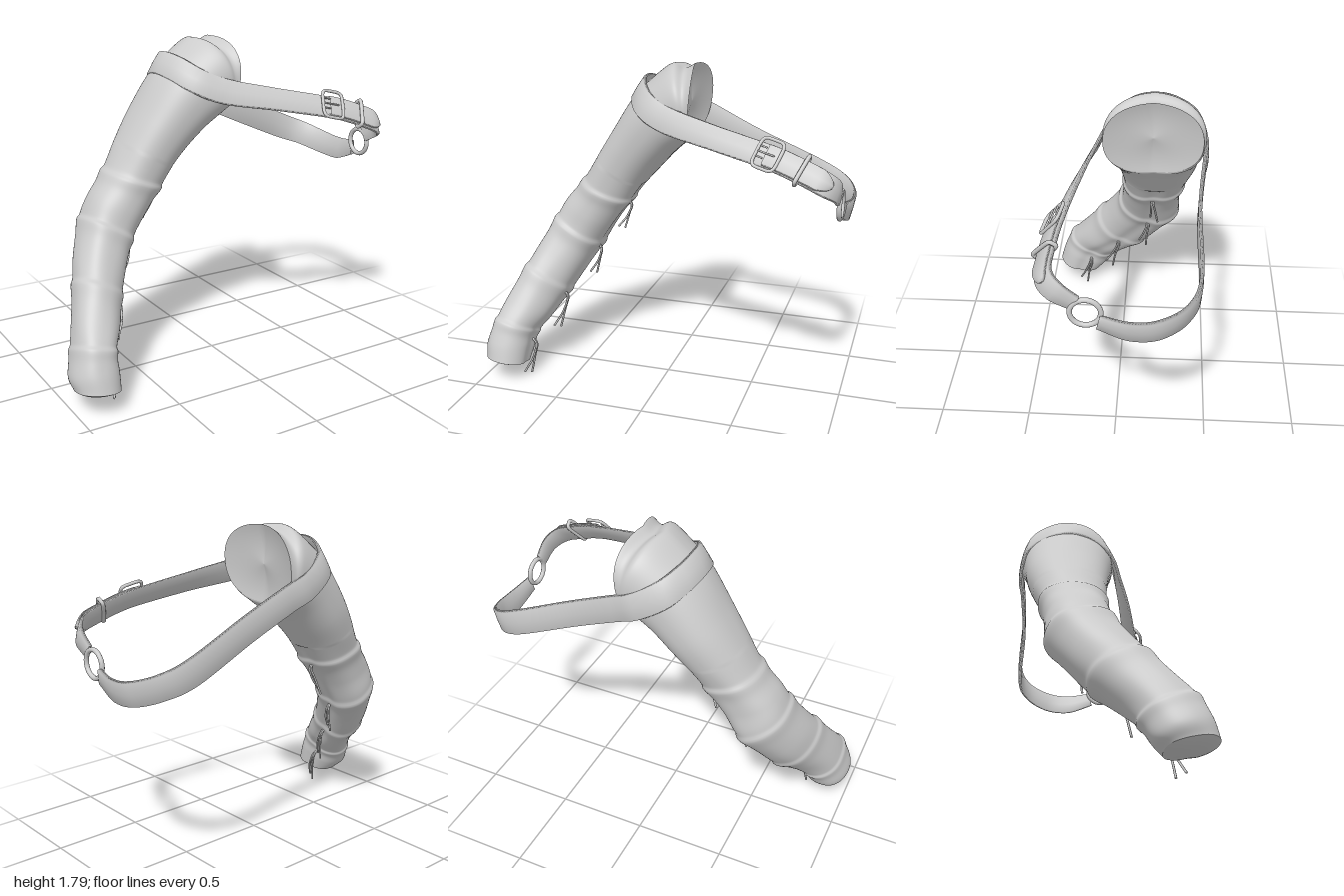
import * as THREE from 'three';

const V = (x, y, z) => new THREE.Vector3(x, y, z);
const mat = new THREE.MeshStandardMaterial({ color: 0xcccccc, side: THREE.DoubleSide });

function add(parent, geo, name) {
  const m = new THREE.Mesh(geo, mat);
  m.name = name;
  parent.add(m);
  return m;
}

// Skin a grid of points: rows x cols, columns closed into a loop
function skin(rows, cols, point) {
  const pos = [], idx = [];
  for (let i = 0; i <= rows; i++)
    for (let j = 0; j < cols; j++) pos.push(...point(i / rows, j / cols).toArray());
  for (let i = 0; i < rows; i++)
    for (let j = 0; j < cols; j++) {
      const a = i * cols + j, b = i * cols + (j + 1) % cols;
      idx.push(a, b, a + cols, b, b + cols, a + cols);
    }
  const g = new THREE.BufferGeometry();
  g.setAttribute('position', new THREE.Float32BufferAttribute(pos, 3));
  g.setIndex(idx);
  g.computeVertexNormals();
  return g;
}

// Sleeve sections: outer x,y | underside x,y | front z | back z | front rise | sideways bulge
const sections = [
  [-0.99, 0.13, -0.76, 0.10, 0.45, 0.19, 0.05, 0],
  [-1.00, 0.20, -0.75, 0.18, 0.42, 0.14, 0.10, 0],
  [-0.96, 0.32, -0.74, 0.26, 0.37, 0.09, 0.11, 0],
  [-0.92, 0.43, -0.68, 0.34, 0.29, 0.02, 0.12, 0],
  [-0.85, 0.59, -0.61, 0.46, 0.18, -0.12, 0.12, 0],
  [-0.80, 0.71, -0.54, 0.58, 0.10, -0.22, 0.10, 0],
  [-0.72, 0.87, -0.46, 0.71, 0.03, -0.32, 0.06, 0],
  [-0.66, 0.98, -0.37, 0.85, 0.01, -0.33, 0.02, 0],
  [-0.56, 1.10, -0.27, 0.99, 0.00, -0.35, 0, 0],
  [-0.47, 1.25, -0.19, 1.10, 0.01, -0.385, 0, 0],
  [-0.37, 1.41, -0.11, 1.19, 0.03, -0.415, 0, 0],
  [-0.25, 1.60, -0.03, 1.28, 0.06, -0.43, 0, 0.02],
  [-0.14, 1.71, 0.02, 1.33, 0.08, -0.44, 0, 0.04],
  [-0.03, 1.79, 0.05, 1.36, 0.09, -0.445, 0, 0.055],
  [0.04, 1.765, 0.06, 1.37, 0.08, -0.435, 0, 0.055],
  [0.10, 1.795, 0.065, 1.38, 0.085, -0.43, 0, 0.05],
];
const seams = [2, 4, 6, 8];
const sectionCurve = f => new THREE.CatmullRomCurve3(sections.map(f), false, 'catmullrom');
const outer = sectionCurve(s => V(s[0], s[1], (s[4] + s[5]) / 2));
const under = sectionCurve(s => V(s[2], s[3], (s[4] + s[5]) / 2));
const side = sectionCurve(s => V(s[7], s[6] / 2, (s[4] - s[5]) / 2));

function sleevePoint(t, u) {
  const a = u * Math.PI * 2, c = Math.cos(a), s = Math.sin(a);
  const L = outer.getPoint(t), R = under.getPoint(t), W = side.getPoint(t);
  const C = L.clone().add(R).multiplyScalar(0.5), k = t * (sections.length - 1);
  // raised lip at each seam, and a shallow groove down the laced underside
  let r = 1;
  for (const q of seams) r += 0.065 * Math.exp(-(((k - q) / (k > q ? 0.1 : 0.3)) ** 2));
  if (k < 9) {
    r -= 0.07 * Math.exp(-(((a - Math.PI) / 0.2) ** 2));
    r += 0.008 * Math.sin(5 * a + k * 1.7);
  }
  const cc = Math.sign(c) * Math.abs(c) ** 0.88, ss = Math.sign(s) * Math.abs(s) ** 0.88;
  return C.clone()
    .addScaledVector(L.sub(C), cc * r)
    .add(V(W.x * Math.abs(ss), W.y * ss * r, W.z * ss * r));
}

// Closes one end of the sleeve, pushed in or out by a bulge vector
function cap(t, bulge) {
  const c = outer.getPoint(t).add(under.getPoint(t)).multiplyScalar(0.5).add(V(side.getPoint(t).x, 0, 0));
  return skin(10, 72, (r, u) => sleevePoint(t, u).lerp(c, r).addScaledVector(bulge, 1 - (1 - r) ** 2));
}

// Strap path: position | width direction | half width
const path = [
  [0.955, 1.20, 0.16, 0.1, 0.7, -0.7, 0.045],
  [0.95, 1.26, 0.25, 0.1, 0.8, -0.6, 0.06],
  [0.90, 1.305, 0.305, 0.2, 0.8, -0.6, 0.066],
  [0.80, 1.35, 0.30, 0.25, 0.8, -0.6, 0.066],
  [0.62, 1.41, 0.27, 0.25, 0.8, -0.6, 0.066],
  [0.30, 1.475, 0.195, 0.2, 0.85, -0.5, 0.066],
  [0.02, 1.53, 0.11, 0.3, 0.9, -0.3, 0.072],
  [-0.12, 1.59, 0.045, 0.4, 0.9, -0.3, 0.072],
  [-0.19, 1.645, -0.06, 0.5, 0.85, -0.1, 0.07],
  [-0.21, 1.665, -0.18, 0.55, 0.8, 0, 0.07],
  [-0.19, 1.645, -0.30, 0.5, 0.85, 0.1, 0.07],
  [-0.12, 1.59, -0.41, 0.4, 0.9, 0.2, 0.072],
  [0.02, 1.505, -0.45, 0.3, 0.95, 0.05, 0.075],
  [0.15, 1.445, -0.435, 0.3, 0.95, 0, 0.075],
  [0.40, 1.33, -0.415, 0.3, 0.95, 0, 0.075],
  [0.75, 1.18, -0.425, 0.3, 0.95, 0, 0.075],
  [0.90, 1.12, -0.37, 0.3, 0.95, 0, 0.07],
  [0.975, 1.075, -0.24, 0.2, 0.95, 0, 0.068],
  [0.985, 1.065, -0.10, 0.2, 0.95, 0, 0.065],
  [0.965, 1.10, 0.05, 0.1, 0.95, 0.2, 0.045],
];
const at = i => i / (path.length - 1);
const strapLine = new THREE.CatmullRomCurve3(path.map(p => V(p[0], p[1], p[2])), false, 'catmullrom');

// Local axes of the strap: along, across (w) and out of it (n)
function strapFrame(t) {
  const k = t * (path.length - 1), i = Math.min(Math.floor(k), path.length - 2), f = k - i;
  const mix = c => THREE.MathUtils.lerp(path[i][c], path[i + 1][c], f);
  const tan = strapLine.getTangent(t), w = V(mix(3), mix(4), mix(5));
  w.addScaledVector(tan, -w.dot(tan)).normalize();
  return { p: strapLine.getPoint(t), w, n: w.clone().cross(tan).normalize(), half: mix(6) };
}

// Flat strip lying on the strap between t0 and t1, with an optional pointed start
function strip(t0, t1, thick, lift, pointed, rows) {
  const corners = [[-1, -1], [-0.9, 1], [0, 1.25], [0.9, 1], [1, -1], [0, -1]];
  return skin(rows, corners.length, (t, u) => {
    const f = strapFrame(t0 + (t1 - t0) * t), [a, b] = corners[Math.round(u * corners.length)];
    const taper = pointed ? 0.92 * Math.min(1, 0.08 + Math.sqrt(t * 3)) : 1;
    return f.p.addScaledVector(f.w, a * f.half * taper).addScaledVector(f.n, lift + b * thick / 2);
  });
}

function onStrap(parent, t, name) {
  const g = new THREE.Group(), f = strapFrame(t);
  g.name = name;
  g.matrix.makeBasis(f.w.clone().cross(f.n), f.w, f.n).setPosition(f.p);
  g.matrix.decompose(g.position, g.quaternion, g.scale);
  parent.add(g);
  return g;
}

// Rounded rectangular loop of round wire
function wireLoop(w, h, r) {
  const pts = [];
  for (let i = 0; i < 32; i++) {
    const a = i / 32 * Math.PI * 2, e = v => Math.sign(v) * Math.abs(v) ** 0.4;
    pts.push(V(e(Math.cos(a)) * w / 2, e(Math.sin(a)) * h / 2, 0));
  }
  return new THREE.TubeGeometry(new THREE.CatmullRomCurve3(pts, true), 64, r, 8, true);
}

export function createModel() {
  const root = new THREE.Group();
  root.name = 'armSleeve';
  add(root, skin(225, 72, sleevePoint), 'sleeve');
  add(root, cap(0, V(-0.01, -0.025, 0.01)), 'cuffEnd');
  add(root, cap(1, V(-0.05, 0, 0)), 'shoulderEnd');

  // strap around the shoulder, plus the loose end past the buckle
  add(root, strip(0, 1, 0.018, 0, false, 190), 'strap');
  add(root, strip(at(1.7), at(4.1), 0.014, 0.018, true, 40), 'strapEnd');

  // buckle: frame, prong and stitch bars
  const buckle = onStrap(root, at(4.05), 'buckle');
  add(buckle, wireLoop(0.125, 0.165, 0.009), 'buckleFrame').position.z = 0.03;
  for (const y of [-0.03, 0, 0.03]) {
    const bar = add(buckle, new THREE.CapsuleGeometry(0.005, y ? 0.03 : 0.085, 4, 8), y ? 'stitchBar' : 'prong');
    bar.rotation.z = Math.PI / 2;
    bar.position.set(y ? -0.035 : -0.01, y, 0.034);
  }
  const keeper = onStrap(root, at(3.15), 'keeper');
  const loop = add(keeper, wireLoop(0.05, 0.16, 0.011), 'keeperLoop');
  loop.rotation.y = Math.PI / 2;
  loop.position.z = 0.014;

  // ring joining both strap ends
  const ring = add(root, new THREE.TorusGeometry(0.073, 0.013, 10, 40), 'ring');
  ring.rotation.y = Math.PI / 2;
  ring.position.set(0.958, 1.15, 0.11);

  // paired lace ends under each seam: start, then end
  const laces = [
    [-0.29, 0.97, -0.17, -0.345, 0.80, -0.18],
    [-0.475, 0.69, -0.14, -0.505, 0.52, -0.11],
    [-0.62, 0.44, 0.05, -0.655, 0.24, 0.11],
    [-0.745, 0.20, 0.24, -0.77, 0.01, 0.29],
  ];
  for (const [x, y, z, X, Y, Z] of laces)
    for (const s of [-1, 1]) {
      const end = V(X + s * 0.012, Y + (s > 0 ? 0 : 0.02), Z - s * 0.022);
      const mid = V((x + X) / 2 + 0.018, (y + Y) / 2 + 0.01, (z + Z) / 2 - s * 0.012);
      const c = new THREE.CatmullRomCurve3([V(x - 0.02, y + 0.02, z), V(x + 0.012, y - 0.01, z - s * 0.006), mid, end]);
      add(root, new THREE.TubeGeometry(c, 16, 0.006, 6), 'lace');
    }
  return root;
}
